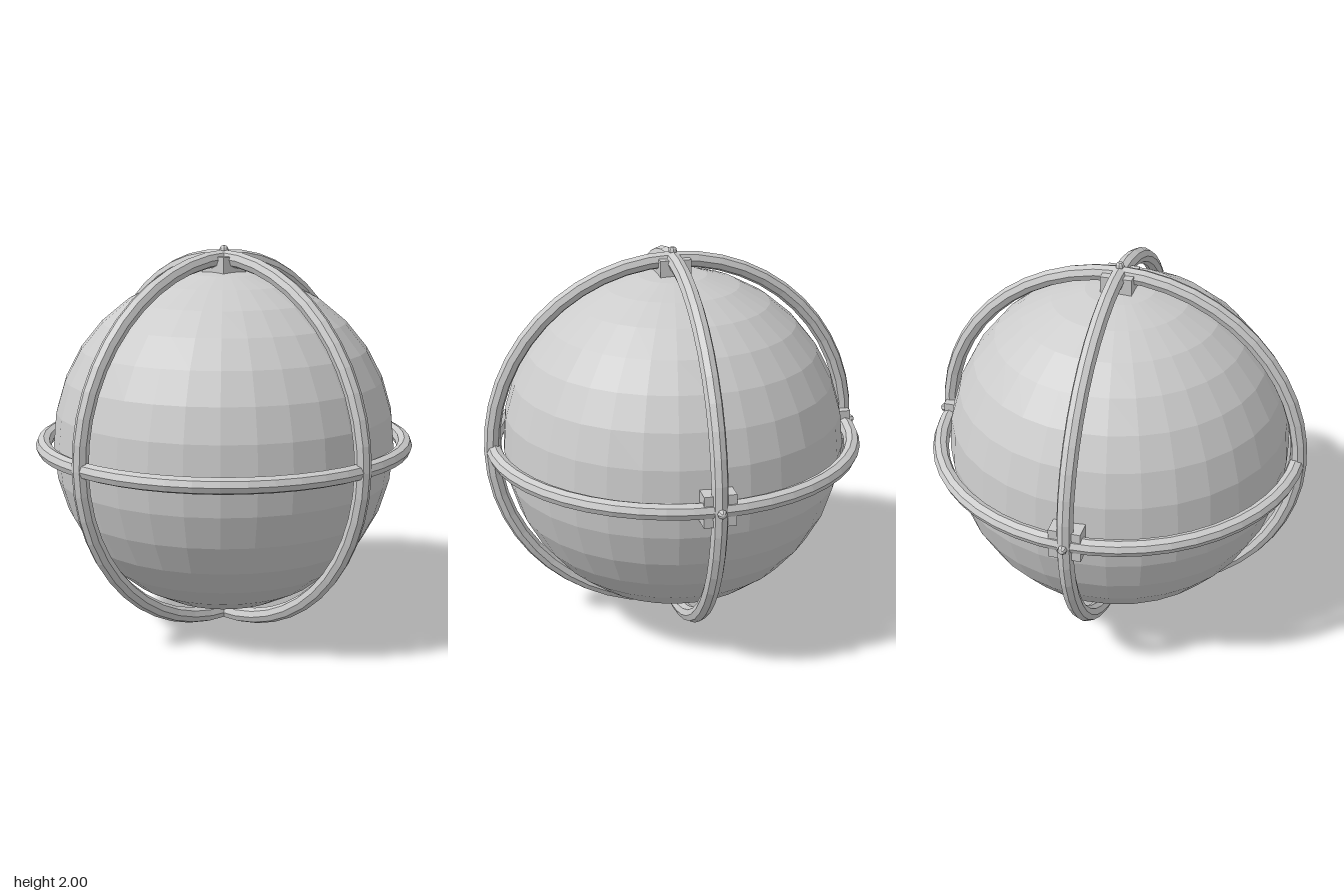
import * as THREE from 'three';

export function createModel() {
  const model = new THREE.Group();
  const grey = new THREE.MeshStandardMaterial({ color: 0xcccccc, flatShading: true });

  // everything is arranged around the centre of the ball
  const core = new THREE.Group();
  core.name = 'cagedBall';
  core.position.set(-0.011, 0.989, 0.011);
  model.add(core);

  function add(name, geometry, parent = core) {
    const mesh = new THREE.Mesh(geometry, grey);
    mesh.name = name;
    parent.add(mesh);
    return mesh;
  }

  // faceted ball
  add('ball', new THREE.SphereGeometry(0.886, 32, 16));

  // three crossing hoops, the level one slightly smaller
  const hoop = (radius) => new THREE.TorusGeometry(radius, 0.041, 8, 48);
  add('frontHoop', hoop(0.947));
  add('sideHoop', hoop(0.947)).rotation.y = Math.PI / 2;
  add('levelHoop', hoop(0.937)).rotation.x = Math.PI / 2;

  // a block and a small stud where hoops cross at the top, left and back
  const crossings = {
    top: new THREE.Vector3(0, 1, 0),
    left: new THREE.Vector3(1, 0, 0),
    back: new THREE.Vector3(0, 0, -1),
  };
  for (const [side, direction] of Object.entries(crossings)) {
    const joint = new THREE.Group();
    joint.name = side + 'Joint';
    joint.quaternion.setFromUnitVectors(new THREE.Vector3(0, 1, 0), direction);
    core.add(joint);
    add(side + 'Block', new THREE.BoxGeometry(0.158, 0.158, 0.158), joint).position.y = 0.879;
    add(side + 'Stud', new THREE.SphereGeometry(0.023, 8, 6), joint).position.y = 0.988;
  }

  return model;
}
